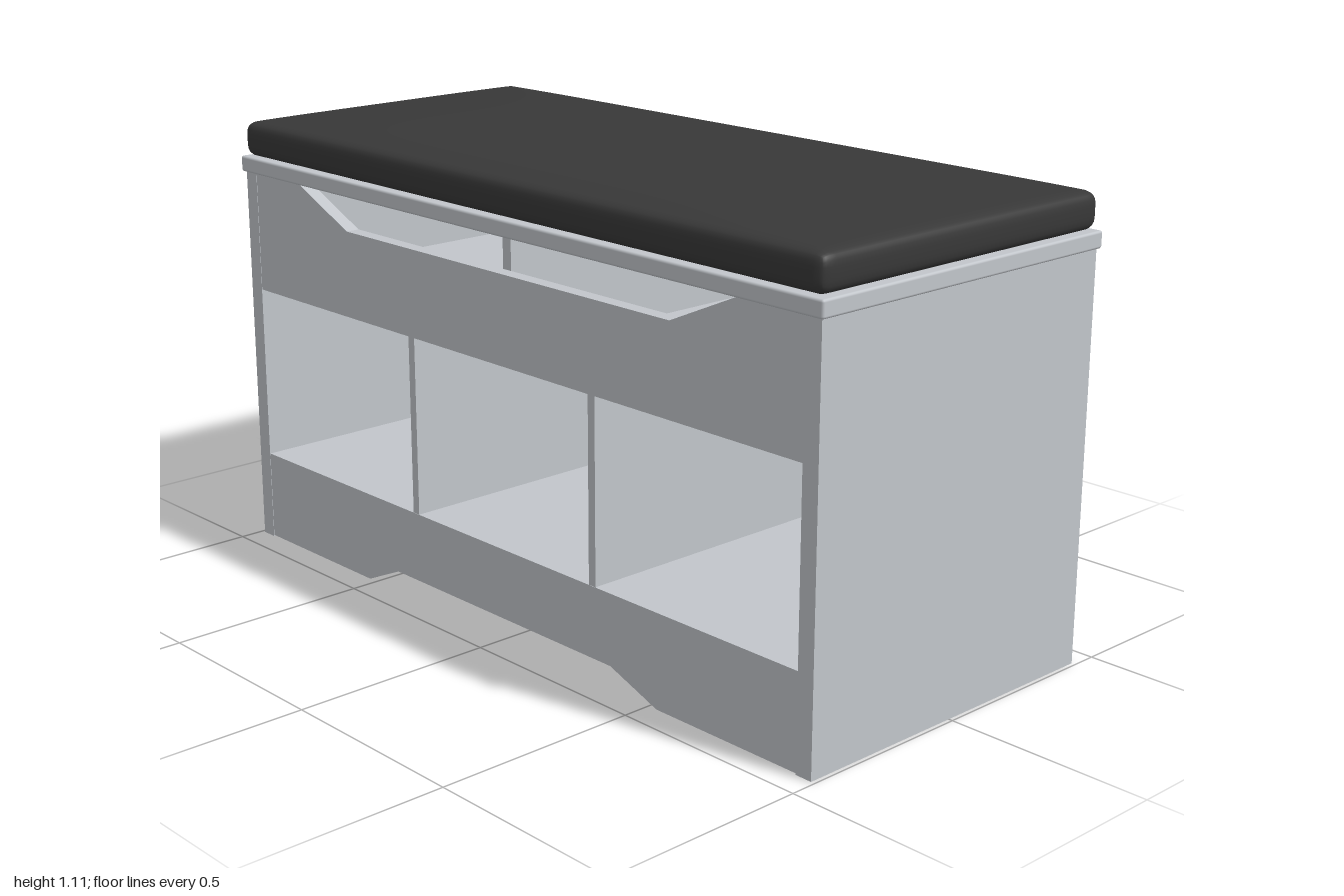
import * as THREE from 'three';
import { mergeVertices } from 'three/addons/utils/BufferGeometryUtils.js';
import { RoundedBoxGeometry } from 'three/addons/geometries/RoundedBoxGeometry.js';

// Padded slab: a box with rounded edges and a gently domed top
function cushionGeometry(w, h, d, r, dome) {
  const geo = new THREE.BoxGeometry(2, 2, 2, 40, 10, 28);
  geo.deleteAttribute('uv');
  geo.deleteAttribute('normal');
  const merged = mergeVertices(geo);
  const pos = merged.attributes.position;
  const half = new THREE.Vector3(w / 2, h / 2, d / 2);
  const limit = half.clone().subScalar(r);
  const low = limit.clone().negate();
  const p = new THREE.Vector3();
  const inner = new THREE.Vector3();
  for (let i = 0; i < pos.count; i++) {
    p.fromBufferAttribute(pos, i);
    // crowd the vertices toward the edges
    p.set(Math.sin(p.x * Math.PI / 2), Math.sin(p.y * Math.PI / 2), Math.sin(p.z * Math.PI / 2)).multiply(half);
    inner.copy(p).clamp(low, limit);
    p.sub(inner).setLength(r).add(inner);
    if (p.y > 0) {
      const lift = (1 - (p.x / half.x) ** 6) * (1 - (p.z / half.z) ** 4);
      p.y += dome * lift * p.y / half.y;
    }
    pos.setXYZ(i, p.x, p.y, p.z);
  }
  merged.computeVertexNormals();
  return merged;
}

export function createModel() {
  const group = new THREE.Group();
  const paint = new THREE.MeshStandardMaterial({ color: 0xc2c6cb });
  paint.name = 'light grey paint';
  const fabric = new THREE.MeshStandardMaterial({ color: 0x383838 });
  fabric.name = 'charcoal fabric';

  const add = (name, geo, mat, x = 0, y = 0, z = 0) => {
    const mesh = new THREE.Mesh(geo, mat);
    mesh.name = name;
    mesh.position.set(x, y, z);
    group.add(mesh);
    return mesh;
  };
  // Board given by its limits on each axis
  const board = (name, x0, x1, y0, y1, z0, z1) =>
    add(name, new THREE.BoxGeometry(x1 - x0, y1 - y0, z1 - z0), paint,
      (x0 + x1) / 2, (y0 + y1) / 2, (z0 + z1) / 2);
  // Front board cut from an outline
  const apron = (name, points) => {
    const shape = new THREE.Shape(points.map(([x, y]) => new THREE.Vector2(x, y)));
    add(name, new THREE.ExtrudeGeometry(shape, { depth: 0.035, bevelEnabled: false }), paint, 0, 0, 0.4);
  };

  const IN = 0.947, OUT = 0.99, TOP = 0.975, BACK = -0.405, FRONT = 0.4;

  // Carcass
  board('leftSide', IN, OUT, 0, TOP, -0.438, 0.436);
  board('rightSide', -OUT, -IN, 0, TOP, -0.438, 0.436);
  board('backPanel', -IN, IN, 0, TOP, -0.437, BACK);

  // Front boards with the hand opening and the foot cutout
  apron('upperFront', [[-IN, 0.673], [IN, 0.673], [IN, TOP], [0.76, TOP],
    [0.565, 0.888], [-0.565, 0.888], [-0.76, TOP], [-IN, TOP]]);
  apron('lowerFront', [[-IN, 0.003], [-0.52, 0.003], [-0.4, 0.057], [0.38, 0.057],
    [0.53, 0.003], [IN, 0.003], [IN, 0.23], [-IN, 0.23]]);

  // Shelves and dividers
  board('lowerShelf', -IN, IN, 0.2, 0.23, BACK, FRONT);
  board('upperShelf', -IN, IN, 0.673, 0.703, BACK, FRONT);
  for (const x of [-0.32, 0.32]) board('cubbyDivider', x - 0.011, x + 0.011, 0.23, 0.673, BACK, 0.434);
  board('chestDivider', -0.014, 0.014, 0.703, TOP, BACK, FRONT);

  // Lid and seat pad
  add('lid', new RoundedBoxGeometry(2, 0.04, 0.89, 2, 0.006), paint, 0, 0.995, 0);
  add('seatCushion', cushionGeometry(1.985, 0.088, 0.88, 0.028, 0.011), fabric, 0, 1.059, 0);

  return group;
}
